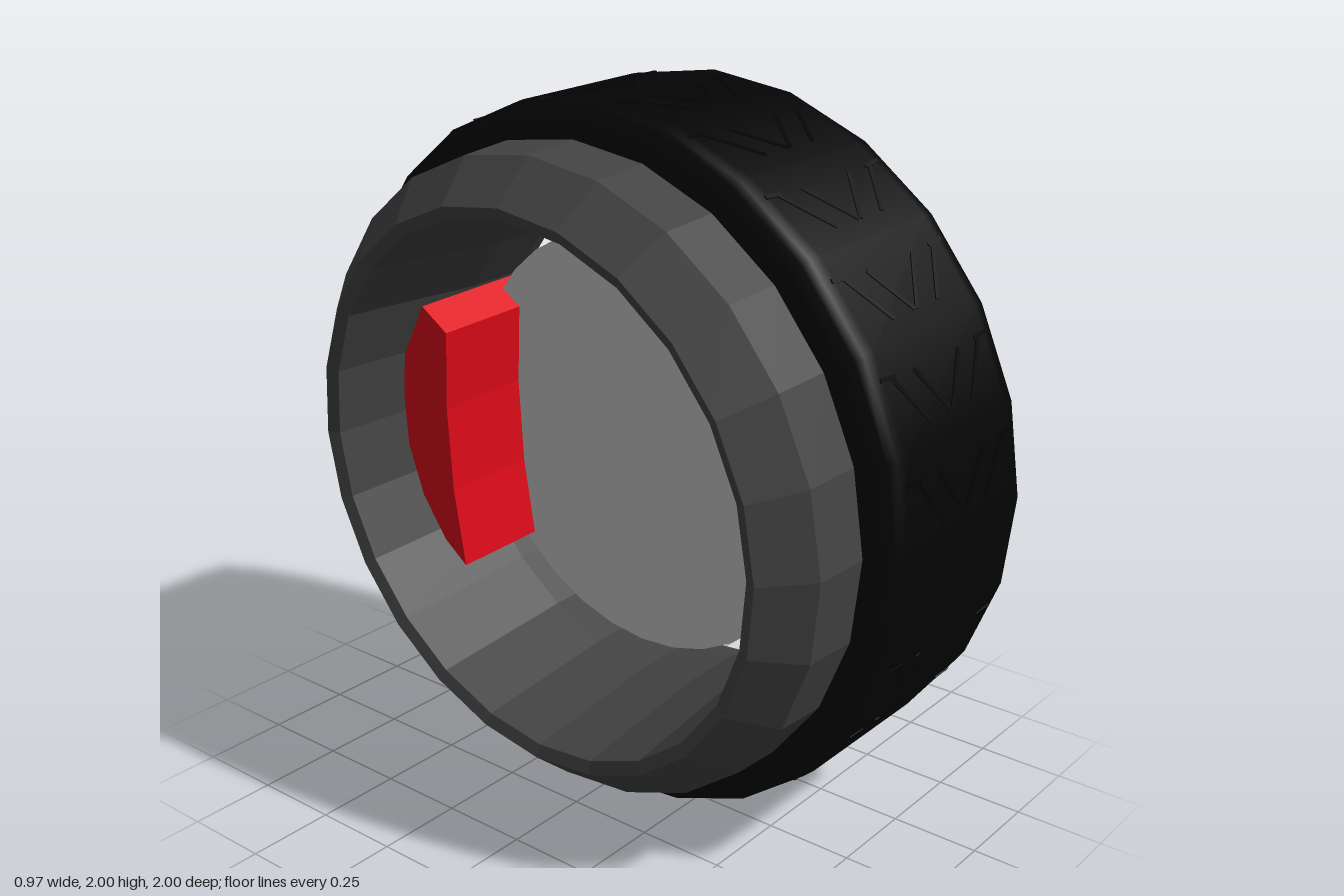
import * as THREE from 'three';
import { mergeGeometries } from 'three/addons/utils/BufferGeometryUtils.js';

const SIDES = 24;
const material = (color, flatShading = true) => new THREE.MeshStandardMaterial({ color, flatShading });
const rubber = material(0x040404, false);
const tread = material(0x020202);
const metal = material(0x444444);
const steel = material(0xcccccc);
const red = material(0xe00a1a);

// Every part is built around the x axis, the outer face towards +x.
function add(group, name, geometry, mat) {
  const mesh = new THREE.Mesh(geometry, mat);
  mesh.name = name;
  group.add(mesh);
}

// Group whose axle leans up by a and forward by b
function axleGroup(name, a, b, x, y) {
  const group = new THREE.Group();
  group.name = name;
  group.quaternion.setFromUnitVectors(new THREE.Vector3(1, 0, 0), new THREE.Vector3(1, a, b).normalize());
  group.position.set(x, y, 0);
  return group;
}

// Profile points are [radius, distance along the axle].
function revolve(profile, sides = SIDES) {
  const points = profile.map(([r, t]) => new THREE.Vector2(r, t));
  return new THREE.LatheGeometry(points, sides).rotateZ(-Math.PI / 2);
}

// One chevron of thin strips, almost flush, on each flat of the tyre
function chevrons(radius) {
  const apothem = radius * Math.cos(Math.PI / SIDES);
  const strips = [];
  for (let i = 0; i < SIDES; i++) {
    const angle = ((i + 0.5) / SIDES) * Math.PI * 2;
    for (const side of [-1, 1]) {
      for (const [x, z, length, slope] of [[0.05, 0.01, 0.16, 0.95], [0.14, 0.01, 0.16, 0.95], [0.2, -0.06, 0.06, 0.1]]) {
        strips.push(new THREE.BoxGeometry(length, 0.008, 0.012)
          .rotateY(side * slope)
          .translate(side * x, apothem - 0.001, z)
          .rotateX(angle));
      }
    }
  }
  return mergeGeometries(strips);
}

export function createModel() {
  const model = new THREE.Group();
  model.name = 'wheel';

  // Tyre with rounded shoulders
  const tyre = axleGroup('tyreAssembly', 0.043, 0.042, 0.126, 1.003);
  add(tyre, 'tyre', revolve([
    [0.845, -0.25], [0.87, -0.28], [0.9, -0.292], [0.94, -0.289], [0.972, -0.275], [0.987, -0.255],
    [0.991, -0.22], [0.991, 0.22], [0.987, 0.255], [0.972, 0.275], [0.94, 0.289], [0.9, 0.292],
    [0.87, 0.28], [0.845, 0.25], [0.83, 0.2],
  ]), rubber);
  add(tyre, 'treadPattern', chevrons(0.991), tread);

  // Rim: deep barrel projecting behind the tyre, stepped lip in front
  const inner = axleGroup('rimAssembly', 0.062, 0.053, 0.123, 1.008);
  add(inner, 'rim', revolve([
    [0.75, -0.54], [0.785, -0.555], [0.892, -0.44], [0.9, -0.28], [0.845, -0.2], [0.845, 0.23],
    [0.78, 0.21], [0.75, 0.19], [0.705, 0.08], [0.705, -0.1], [0.75, -0.54],
  ]).translate(0.012, -0.004, -0.012), metal);

  // Spokes, each set a little to one side of the centre
  const spokes = new THREE.Group();
  spokes.name = 'spokes';
  spokes.position.y = 0.01;
  for (let i = 0; i < 10; i++) {
    const geometry = new THREE.BoxGeometry(0.08, 0.62, 0.074)
      .translate(0.245, 0.525, 0.025)
      .rotateX((i / 10) * Math.PI * 2 - Math.PI / 2);
    add(spokes, 'spoke', geometry, metal);
  }

  // Hub plate and cap
  add(spokes, 'hubPlate', revolve([[0, 0.2], [0.245, 0.2], [0.245, 0.275], [0, 0.275]], 20), metal);
  add(spokes, 'hubCap', revolve([[0, 0.25], [0.105, 0.25], [0.105, 0.355], [0, 0.355]], 20), metal);
  inner.add(spokes);

  // Brake disc with a sloping front
  add(inner, 'brakeDisc', revolve([[0, -0.11], [0.607, -0.11], [0.607, -0.09], [0.39, -0.02], [0, -0.02]], 32)
    .translate(0, 0.008, 0), steel);

  // Brake caliper clasping the rear edge of the disc
  const outline = [
    [0.42, -0.38], [0.5, -0.32], [0.58, -0.2], [0.625, -0.05], [0.625, 0.1],
    [0.605, 0.23], [0.51, 0.39], [0.42, 0.33], [0.445, 0.1], [0.445, -0.15],
  ].map(([x, y]) => new THREE.Vector2(x, y));
  const caliper = new THREE.ExtrudeGeometry(new THREE.Shape(outline), { depth: 0.35, bevelEnabled: false })
    .rotateY(Math.PI / 2)
    .translate(-0.39, 0, 0);
  add(inner, 'brakeCaliper', caliper, red);

  model.add(tyre, inner);
  return model;
}
